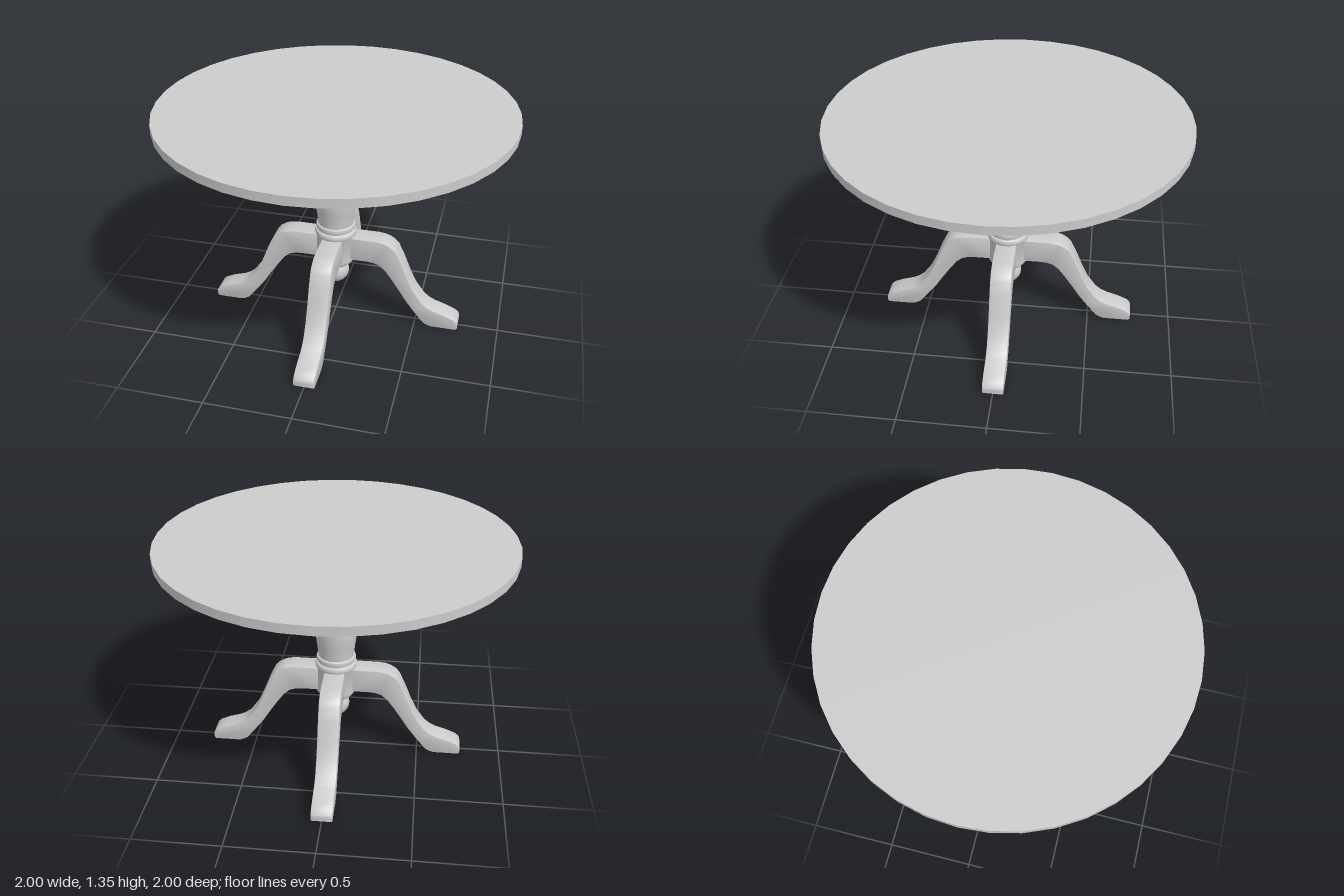
import * as THREE from 'three';
import { toCreasedNormals } from 'three/addons/utils/BufferGeometryUtils.js';

const material = new THREE.MeshStandardMaterial({ color: 0xcccccc });

function addMesh(parent, name, geometry, crease = 0.6) {
  const mesh = new THREE.Mesh(toCreasedNormals(geometry, crease), material);
  mesh.name = name;
  parent.add(mesh);
  return mesh;
}

const points = (list) => list.map(([x, y]) => new THREE.Vector2(x, y));

export function createModel() {
  const table = new THREE.Group();
  table.name = 'pedestalTable';

  // Round top
  addMesh(table, 'tableTop', new THREE.CylinderGeometry(1, 1, 0.05, 40)).position.y = 1.33;

  // Turned column: smooth vase-shaped shaft
  const shaft = new THREE.SplineCurve(points([
    [0.105, 0.635], [0.11, 0.69], [0.119, 0.76], [0.12, 0.82], [0.11, 0.91], [0.093, 1.0],
    [0.08, 1.08], [0.084, 1.13], [0.104, 1.2], [0.122, 1.255], [0.125, 1.285], [0.116, 1.307],
  ])).getPoints(36);
  addMesh(table, 'columnShaft', new THREE.LatheGeometry(shaft, 40));

  // Rings, hub and stepped base below the shaft
  const hub = points([
    [0, 0.345], [0.07, 0.345], [0.082, 0.352], [0.086, 0.365], [0.1, 0.37], [0.107, 0.38],
    [0.108, 0.395], [0.119, 0.4], [0.119, 0.56], [0.122, 0.565], [0.124, 0.578], [0.119, 0.59],
    [0.108, 0.596], [0.108, 0.6], [0.114, 0.604], [0.117, 0.616], [0.114, 0.63], [0.105, 0.636], [0, 0.636],
  ]);
  addMesh(table, 'columnHub', new THREE.LatheGeometry(hub, 40));

  // Ball finial
  addMesh(table, 'finialBall', new THREE.SphereGeometry(0.08, 28, 18)).position.y = 0.297;

  // Four curved legs cut from one side profile
  const bevel = 0.005;
  const profile = new THREE.Shape(points([
    [0.06, 0.412], [0.2, 0.412], [0.24, 0.408], [0.275, 0.396], [0.31, 0.365], [0.35, 0.31],
    [0.4, 0.235], [0.44, 0.17], [0.485, 0.11], [0.55, 0.027], [0.575, 0.012], [0.602, 0.003],
    [0.752, 0.003], [0.762, 0.012], [0.762, 0.045], [0.752, 0.062], [0.735, 0.076], [0.68, 0.1],
    [0.61, 0.122], [0.575, 0.14], [0.54, 0.168], [0.487, 0.243], [0.45, 0.322], [0.407, 0.43],
    [0.374, 0.5], [0.352, 0.525], [0.32, 0.545], [0.29, 0.555], [0.25, 0.56], [0.06, 0.56],
  ]));
  const legGeometry = new THREE.ExtrudeGeometry(profile, {
    depth: 0.12 - 2 * bevel, bevelEnabled: true, bevelThickness: bevel,
    bevelSize: bevel, bevelOffset: -bevel, bevelSegments: 2,
  });
  legGeometry.translate(0, 0, -0.06 + bevel);
  ['leftLeg', 'backLeg', 'rightLeg', 'frontLeg'].forEach((name, i) => {
    addMesh(table, name, legGeometry).rotation.y = i * Math.PI / 2;
  });

  return table;
}
